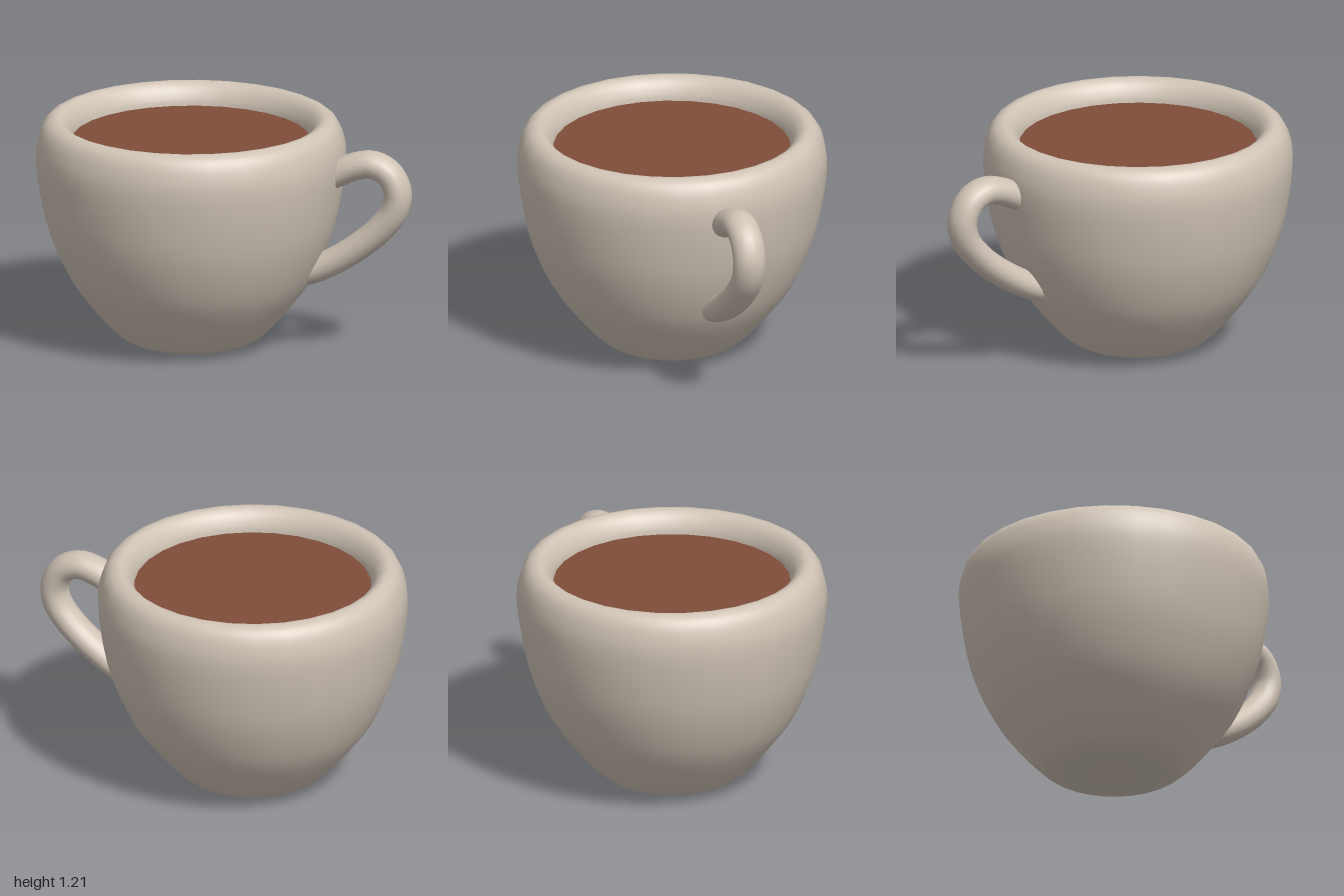
import * as THREE from 'three';

const CUP_X = -0.193;   // axis of the cup body
const SIDES = 30;

const v2 = (list) => list.map(([x, y]) => new THREE.Vector2(x, y));

export function createModel() {
  const ceramic = new THREE.MeshStandardMaterial({ color: 0xcfc3b5 });
  ceramic.name = 'warm grey ceramic';
  const coffee = new THREE.MeshStandardMaterial({ color: 0x804d39 });
  coffee.name = 'coffee brown';

  const group = new THREE.Group();
  group.name = 'coffeeCup';
  const add = (name, geometry, material, x = 0, y = 0) => {
    const mesh = new THREE.Mesh(geometry, material);
    mesh.name = name;
    mesh.position.set(x, y, 0);
    group.add(mesh);
  };

  // Cup wall: up the outside, over the rounded rim and down the inside
  const profile = new THREE.SplineCurve(v2([
    [0, 0], [0.15, 0.001], [0.27, 0.008], [0.34, 0.028], [0.4, 0.07],
    [0.5, 0.178], [0.635, 0.36], [0.735, 0.585], [0.786, 0.79], [0.8115, 1.0],
    [0.796, 1.12], [0.76, 1.19], [0.705, 1.214], [0.66, 1.19], [0.63, 1.14],
    [0.618, 1.08], [0.6, 0.9], [0.5, 0.55], [0.3, 0.2], [0, 0.12],
  ]));
  const points = profile.getPoints(76);
  points.forEach((p) => { p.x = Math.max(p.x, 0); p.y = Math.max(p.y, 0); });
  points[0].x = points[points.length - 1].x = 0;
  add('cupBody', new THREE.LatheGeometry(points, SIDES), ceramic, CUP_X);

  // Flat drink surface, with vertices aligned to the cup sides
  const drink = new THREE.CircleGeometry(0.624, SIDES, Math.PI / 2);
  drink.rotateX(-Math.PI / 2);
  add('drinkSurface', drink, coffee, CUP_X, 1.1);

  // Handle: ear-shaped loop, slightly wider than thick, with ends inside the wall
  const path = new THREE.CatmullRomCurve3([
    [0.5, 0.92], [0.61, 0.978], [0.7, 1.018], [0.79, 1.033], [0.88, 0.99],
    [0.927, 0.89], [0.908, 0.79], [0.83, 0.685], [0.72, 0.588],
    [0.59, 0.5], [0.48, 0.444], [0.38, 0.41],
  ].map(([x, y]) => new THREE.Vector3(x, y, 0)));
  const handle = new THREE.TubeGeometry(path, 48, 0.073, 20);
  handle.scale(1, 1, 1.2);
  add('handle', handle, ceramic);

  return group;
}
